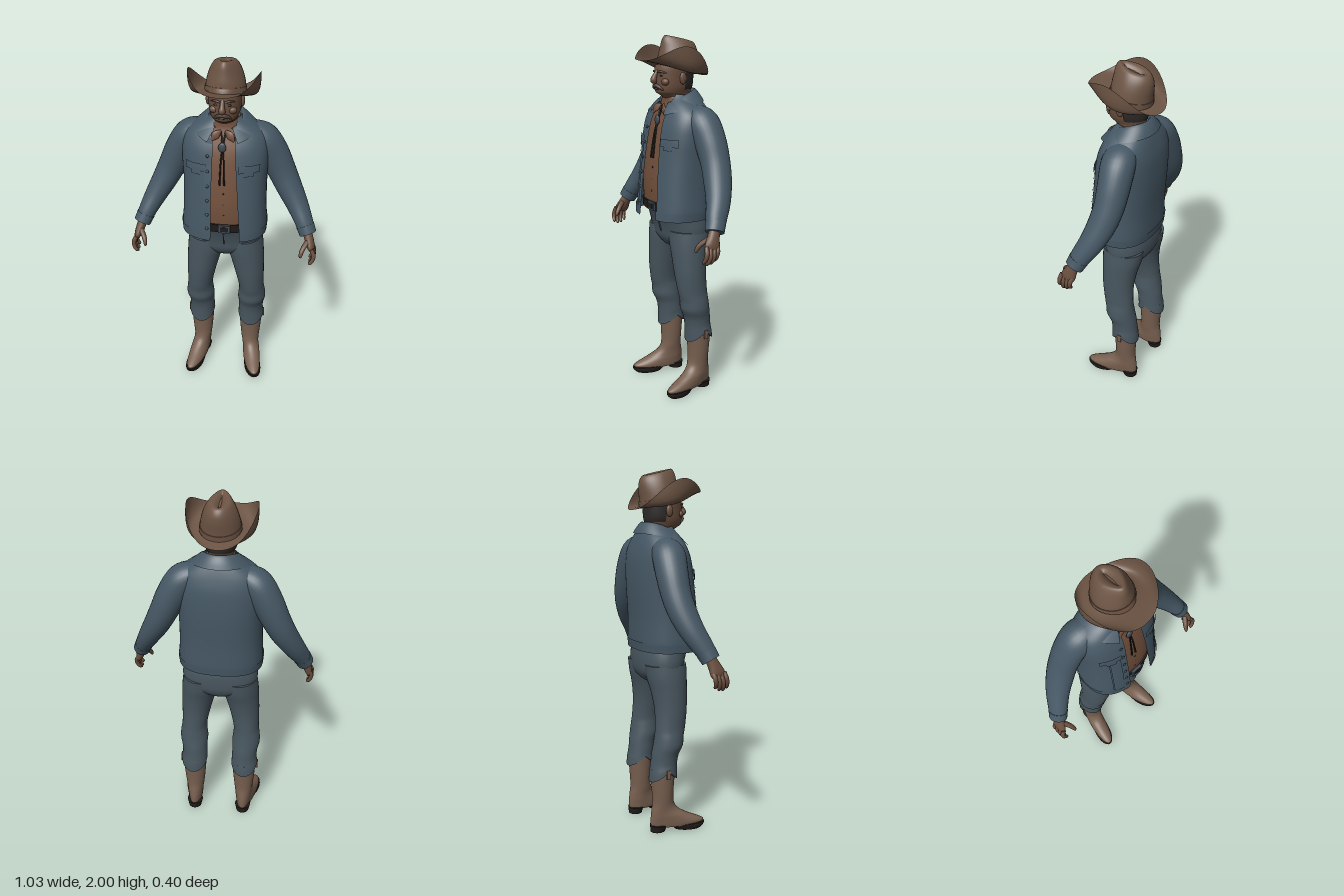
import * as THREE from 'three';

const mat = (name, color) => new THREE.MeshStandardMaterial({ name, color, side: THREE.DoubleSide });
const M = {
  denim: mat('jacket denim', 0x465865), jeans: mat('jeans denim', 0x48565f), hat: mat('hat felt', 0x6c5444),
  boot: mat('boot leather', 0x786050), skin: mat('skin', 0x6a4f3e), shirt: mat('shirt', 0x72503c),
  dark: mat('dark leather', 0x201c1a), hair: mat('hair', 0x2d2a29), whisker: mat('whiskers', 0x493a30),
  metal: mat('metal', 0x3f4b55),
};
const clamp = THREE.MathUtils.clamp;
const V = (x, y, z) => new THREE.Vector3(x, y, z);
const spow = (v, p) => Math.sign(v) * Math.abs(v) ** p;

// Catmull-Rom refinement of rows of numbers
function refine(rows, k) {
  const out = [], g = i => rows[clamp(i, 0, rows.length - 1)];
  for (let i = 0; i < rows.length - 1; i++) for (let s = 0; s < k; s++) {
    const t = s / k, [a, b, c, d] = [g(i - 1), g(i), g(i + 1), g(i + 2)];
    out.push(b.map((_, m) => b[m] + 0.5 * t * (c[m] - a[m] + t * (2 * a[m] - 5 * b[m] + 4 * c[m] - d[m]
      + t * (3 * (b[m] - c[m]) + d[m] - a[m])))));
  }
  out.push(rows[rows.length - 1]);
  return out;
}

// Skins a list of point rings
function skin(rings, closed, caps) {
  const n = rings[0].length, pos = [], idx = [];
  rings.forEach(r => r.forEach(p => pos.push(p.x, p.y, p.z)));
  for (let i = 0; i < rings.length - 1; i++) for (let j = 0; j < (closed ? n : n - 1); j++) {
    const a = i * n + j, b = i * n + (j + 1) % n;
    idx.push(a, b, b + n, a, b + n, a + n);
  }
  if (caps) [rings[0], rings[rings.length - 1]].forEach((r, e) => {
    const o = pos.length / 3, c = r.reduce((s, p) => s.add(p), V(0, 0, 0)).divideScalar(n);
    [c, ...r].forEach(p => pos.push(p.x, p.y, p.z));
    for (let j = 0; j < n; j++) {
      const a = o + 1 + j, b = o + 1 + (j + 1) % n;
      idx.push(o, e ? a : b, e ? b : a);
    }
  });
  const geo = new THREE.BufferGeometry();
  geo.setAttribute('position', new THREE.Float32BufferAttribute(pos, 3));
  geo.setIndex(idx);
  geo.computeVertexNormals();
  return geo;
}

// Upright loft; sections run upwards as [y, frontZ, backZ, halfWidth, x]
function loft(secs, { n = 36, k = 4, p = 1, arc, warp, caps = true, grow = 0 } = {}) {
  const rows = refine(secs.map(s => [s[0], s[1], s[2], s[3], s[4] || 0]), k);
  const rings = rows.map(([y, f, b, rx, x]) => {
    const [a0, a1] = arc ? arc(y, rx + grow) : [0, Math.PI * 2];
    return Array.from({ length: arc ? n + 1 : n }, (_, j) => {
      const a = a0 + (a1 - a0) * j / n;
      const v = V(x + (rx + grow) * spow(Math.sin(a), p), y, (f + b) / 2 + ((f - b) / 2 + grow) * spow(Math.cos(a), p));
      if (warp) warp(v, a);
      return v;
    });
  });
  return skin(rings, !arc, caps && !arc);
}

// Tube along a path of [x, y, z, radiusU, radiusV]
function limb(path, { n = 16, k = 5 } = {}) {
  const rows = refine(path.map(q => [q[0], q[1], q[2], q[3], q[4] ?? q[3]]), k);
  return skin(rows.map((r, i) => {
    const a = rows[Math.max(i - 1, 0)], b = rows[Math.min(i + 1, rows.length - 1)];
    const t = V(b[0] - a[0], b[1] - a[1], b[2] - a[2]).normalize();
    const u = V(0, 0, 1).cross(t).normalize(), w = t.clone().cross(u);
    return Array.from({ length: n }, (_, j) => {
      const q = j / n * Math.PI * 2;
      return V(r[0], r[1], r[2]).addScaledVector(u, r[3] * Math.cos(q)).addScaledVector(w, r[4] * Math.sin(q));
    });
  }), true, true);
}

const JP = 0.82;
const jacket = [[1.03, .172, -.175, .228], [1.07, .17, -.18, .232], [1.2, .158, -.182, .226], [1.35, .14, -.19, .226],
  [1.45, .125, -.19, .232], [1.53, .108, -.184, .23], [1.59, .085, -.17, .212], [1.635, .065, -.155, .165],
  [1.67, .045, -.14, .11], [1.69, .035, -.13, .085]];
function jacketAt(y) {
  const i = clamp(jacket.findIndex(s => s[0] > y), 1, jacket.length - 1), a = jacket[i - 1], b = jacket[i];
  return a.map((v, m) => v + (b[m] - v) * (y - a[0]) / (b[0] - a[0]));
}
const angleOf = (x, rx) => Math.asin(spow(clamp(x / rx, -1, 1), 1 / JP));
const leftEdge = y => .1 - .035 * clamp((y - 1.05) / .5, 0, 1);
const rightEdge = y => -.062 + .012 * clamp((y - 1.05) / .5, 0, 1);
const opening = (y, rx) => [angleOf(leftEdge(y), rx), 2 * Math.PI + angleOf(rightEdge(y), rx)];
// Raised patch that follows the jacket between two heights and two x positions
const patch = (y0, y1, x0, x1, grow) => loft([0, .33, .67, 1].map(t => jacketAt(y0 + (y1 - y0) * t)),
  { n: 10, k: 1, p: JP, grow, arc: (y, rx) => [angleOf(x0, rx), angleOf(x1, rx)] });
function jacketZ(x, y) {
  const [, f, b, rx] = jacketAt(y);
  return (f + b) / 2 + (f - b) / 2 * Math.cos(angleOf(x, rx)) ** JP;
}

export function createModel() {
  const root = new THREE.Group();
  root.name = 'cowboy';
  const add = (name, geo, material) => {
    const m = new THREE.Mesh(geo, material);
    m.name = name;
    root.add(m);
    return m;
  };
  const ball = (name, material, x, y, z, sx, sy, sz) => {
    const m = add(name, new THREE.SphereGeometry(1, 16, 12), material);
    m.position.set(x, y, z);
    m.scale.set(sx, sy, sz);
    return m;
  };

  // Hat: brim curled up at the sides, crown pinched and creased
  const brim = [];
  for (let i = 0; i <= 10; i++) {
    const t = i / 10, e = Math.sin(t * 1.75) / Math.sin(1.57);
    brim.push(Array.from({ length: 56 }, (_, j) => {
      const a = j / 56 * Math.PI * 2, s = Math.abs(Math.sin(a));
      const z = -.03 + .03 * t + (.1 + .1 * t) * Math.cos(a);
      const x = -.004 + (.095 + .09 * THREE.MathUtils.lerp(t, e, s)) * Math.sin(a);
      return V(x, 1.825 + .23 * z + s ** 3 * (.115 * t ** 3 - .02 * Math.sin(t * Math.PI)), z);
    }));
  }
  add('hatBrim', skin(brim, true, false), M.hat);
  const hatWarp = (v, a) => {
    const h = clamp((v.y - 1.83) / .13, 0, 1);
    v.x *= 1 - .3 * h * Math.max(0, Math.cos(a));
    v.y += .23 * (v.z + .04);
  };
  add('hatCrown', loft([[1.81, .08, -.137, .106], [1.86, .077, -.14, .102], [1.91, .068, -.145, .09], [1.95, .06, -.143, .073],
    [1.976, .044, -.128, .052], [1.974, .025, -.105, .026], [1.958, .005, -.085, .006]], { warp: hatWarp }), M.hat);
  add('hatBand', loft([[1.82, .083, -.14, .109], [1.845, .081, -.142, .107]], { warp: hatWarp, k: 1 }), M.hat);

  // Head and face
  add('head', loft([[1.58, .03, -.12, .07], [1.655, .038, -.11, .068], [1.685, .072, -.108, .066], [1.70, .096, -.108, .071],
    [1.73, .1, -.11, .081], [1.78, .1, -.112, .086], [1.83, .097, -.114, .089], [1.87, .08, -.112, .086], [1.9, .05, -.1, .07]]), M.skin);
  add('hair', loft([[1.715, .09, -.113, .078], [1.74, .1, -.118, .087], [1.79, .1, -.121, .091], [1.85, .09, -.12, .093]],
    { arc: () => [1.75, Math.PI * 2 - 1.75] }), M.hair);
  add('nose', limb([[0, 1.815, .09, .01], [0, 1.79, .107, .012], [0, 1.766, .117, .018, .017], [0, 1.752, .107, .014, .01]]), M.skin);
  add('moustache', limb([[-.045, 1.712, .082, .003], [-.03, 1.727, .096, .009], [0, 1.737, .105, .011],
    [.03, 1.727, .096, .009], [.045, 1.712, .082, .003]]), M.whisker);
  add('mouth', limb([[-.022, 1.717, .094, .004], [0, 1.719, .1, .005], [.022, 1.717, .094, .004]]), M.whisker);
  for (const s of [1, -1]) {
    ball('ear', M.skin, s * .09, 1.775, -.012, .011, .032, .02);
    ball('eye', M.dark, s * .034, 1.789, .0905, .012, .005, .005);
    add('eyebrow', limb([[s * .014, 1.806, .099, .005], [s * .036, 1.81, .093, .006], [s * .06, 1.803, .074, .003]]), M.whisker);
    ball('cheek', M.skin, s * .045, 1.757, .072, .026, .02, .02);
  }

  // Shirt, belt and string tie
  add('shirt', loft([[1.07, .13, -.15, .195], [1.2, .138, -.165, .2], [1.35, .124, -.17, .203], [1.5, .098, -.165, .198],
    [1.59, .068, -.15, .16], [1.64, .05, -.135, .1], [1.68, .047, -.12, .075]], { p: .85 }), M.shirt);
  for (const s of [1, -1]) {
    add('shirtCollar', limb([[s * .012, 1.635, .062, .006, .005], [s * .038, 1.615, .078, .022, .008],
      [s * .058, 1.585, .084, .004]]), M.shirt);
    add('tieCord', limb([[s * .012, 1.63, .062, .004], [s * .003, 1.56, .09, .004], [s * .008, 1.47, .112, .004],
      [s * .012, 1.35, .13, .005]], { n: 8 }), M.dark);
  }
  ball('tieClasp', M.metal, -.002, 1.553, .094, .021, .028, .01);
  for (let i = 0; i < 3; i++) ball('shirtButton', M.dark, .008, 1.3 - i * .065, .131 + i * .0025, .005, .005, .003);
  add('belt', loft([[1.06, .137, -.156, .203], [1.11, .142, -.158, .203]], { p: .85, k: 1 }), M.dark);
  const buckle = add('buckle', new THREE.BoxGeometry(.065, .046, .014), M.metal);
  buckle.position.set(.015, 1.087, .143);
  const plate = add('bucklePlate', new THREE.BoxGeometry(.045, .028, .006), M.dark);
  plate.position.set(.015, 1.087, .149);

  // Open jacket with waistband, placket, flaps and buttons
  add('jacket', loft(jacket, { n: 64, p: JP, arc: opening }), M.denim);
  add('jacketWaistband', loft([1.025, 1.04, 1.065, 1.075].map(y => [y, ...jacketAt(Math.max(y, 1.03)).slice(1)]),
    { n: 64, k: 1, p: JP, grow: .005, arc: opening }), M.denim);
  add('placket', patch(1.04, 1.6, -.094, -.056, .005), M.denim);
  for (let i = 0; i < 6; i++) {
    const y = 1.1 + i * .082;
    ball('jacketButton', M.metal, -.076, y, jacketZ(-.076, y) + .006, .009, .009, .005);
  }
  for (const s of [1, -1]) {
    add('pocketFlap', patch(1.425, 1.465, s * .14 - .055, s * .14 + .055, .008), M.denim);
    add('pocketPoint', patch(1.405, 1.43, s * .14 - .025, s * .14 + .025, .007), M.denim);
    add('frontSeam', patch(1.08, 1.42, s * .15 - .004, s * .15 + .004, .004), M.denim);
  }
  const collarArc = () => [.5, Math.PI * 2 - .5];
  add('jacketCollar', loft([[1.655, .125, -.168, .165], [1.69, .095, -.15, .125], [1.716, .062, -.125, .09], [1.69, .05, -.115, .078]],
    { n: 48, arc: collarArc, warp: (v, a) => { v.y -= .075 * ((1 + Math.cos(a)) / 2) ** 1.6; } }), M.denim);

  // Sleeves and hands
  for (const s of [1, -1]) {
    const side = path => path.map(([x, ...r]) => [s * x, ...r]);
    add('sleeve', limb(side([[.13, 1.585, -.06, .06, .075], [.195, 1.545, -.07, .082, .09], [.25, 1.455, -.08, .084, .086],
      [.3, 1.35, -.08, .077, .08], [.345, 1.26, -.065, .07, .076], [.395, 1.17, -.035, .06, .067],
      [.437, 1.09, .005, .05, .057], [.462, 1.035, .03, .044, .048]]), { n: 28 }), M.denim);
    add('cuff', limb(side([[.446, 1.07, .015, .05, .055], [.465, 1.028, .033, .047, .051]]), { n: 28, k: 1 }), M.denim);
    add('palm', limb(side([[.458, 1.045, .028, .026, .03], [.472, 1.005, .045, .025, .034], [.485, .965, .06, .022, .043],
      [.492, .943, .066, .014, .038]])), M.skin);
    for (let f = 0; f < 4; f++) {
      const z = .033 + .022 * f, d = [.012, 0, -.003, .008][f];
      add('finger', limb(side([[.488, .965, z, .012], [.504, .925 + d, z + .006, .0125], [.499, .892 + d, z + .012, .011],
        [.484, .874 + d, z + .016, .008], [.479, .871 + d, z + .017, .002]]), { n: 10, k: 3 }), M.skin);
    }
    add('thumb', limb(side([[.47, 1.0, .065, .015], [.447, .975, .098, .014], [.436, .95, .118, .012],
      [.433, .93, .127, .008], [.433, .925, .129, .002]]), { n: 10, k: 3 }), M.skin);
  }

  // Jeans
  add('jeansSeat', loft([[.835, .015, -.1, .04], [.86, .045, -.14, .11], [.9, .068, -.163, .195], [.95, .078, -.17, .21],
    [1.01, .095, -.168, .207], [1.085, .125, -.152, .196]], { p: .9 }), M.jeans);
  const fly = add('flySeam', new THREE.BoxGeometry(.006, .1, .006), M.jeans);
  fly.position.set(.004, .98, .089);
  fly.rotation.x = .27;
  for (const s of [1, -1]) {
    const hem = (v, a) => { v.y += clamp((.4 - v.y) / .07, 0, 1) * (.035 - .065 * Math.abs(Math.cos(a))); };
    add('jeansLeg', loft([[.33, -.004, -.163, .077, .15], [.36, -.004, -.16, .075, .15], [.4, -.002, -.151, .073, .148],
      [.45, .008, -.146, .074, .15], [.5, .03, -.137, .081, .154], [.55, .034, -.13, .077, .155], [.6, .046, -.125, .073, .152],
      [.7, .06, -.122, .083, .141], [.8, .067, -.135, .095, .126], [.88, .072, -.155, .105, .112], [.95, .072, -.165, .1, .108]]
      .map(r => [...r.slice(0, 4), s * r[4]]), { warp: hem }), M.jeans);

    // Boots with turned-out toes
    const turn = v => { v.x += s * .2 * Math.max(0, v.z + .1) * clamp((.16 - v.y) / .06, 0, 1); };
    const bootLoft = rows => loft(rows.map(r => [...r, s * .148]), { warp: turn });
    add('boot', bootLoft([[.028, .138, -.152, .046], [.045, .15, -.157, .05], [.065, .115, -.157, .051], [.09, .058, -.155, .051],
      [.125, .003, -.15, .05], [.17, -.02, -.143, .054], [.25, -.022, -.146, .062], [.37, -.012, -.156, .071]]), M.boot);
    add('bootSole', bootLoft([[0, .132, -.015, .043], [.018, .15, -.035, .049], [.034, .154, -.07, .05]]), M.dark);
    add('bootHeel', bootLoft([[0, -.075, -.156, .038], [.02, -.068, -.157, .042], [.038, -.058, -.159, .047]]), M.dark);
    const tab = add('pullTab', new THREE.BoxGeometry(.008, .05, .022), M.boot);
    tab.position.set(s * .226, .35, -.085);
  }
  return root;
}
